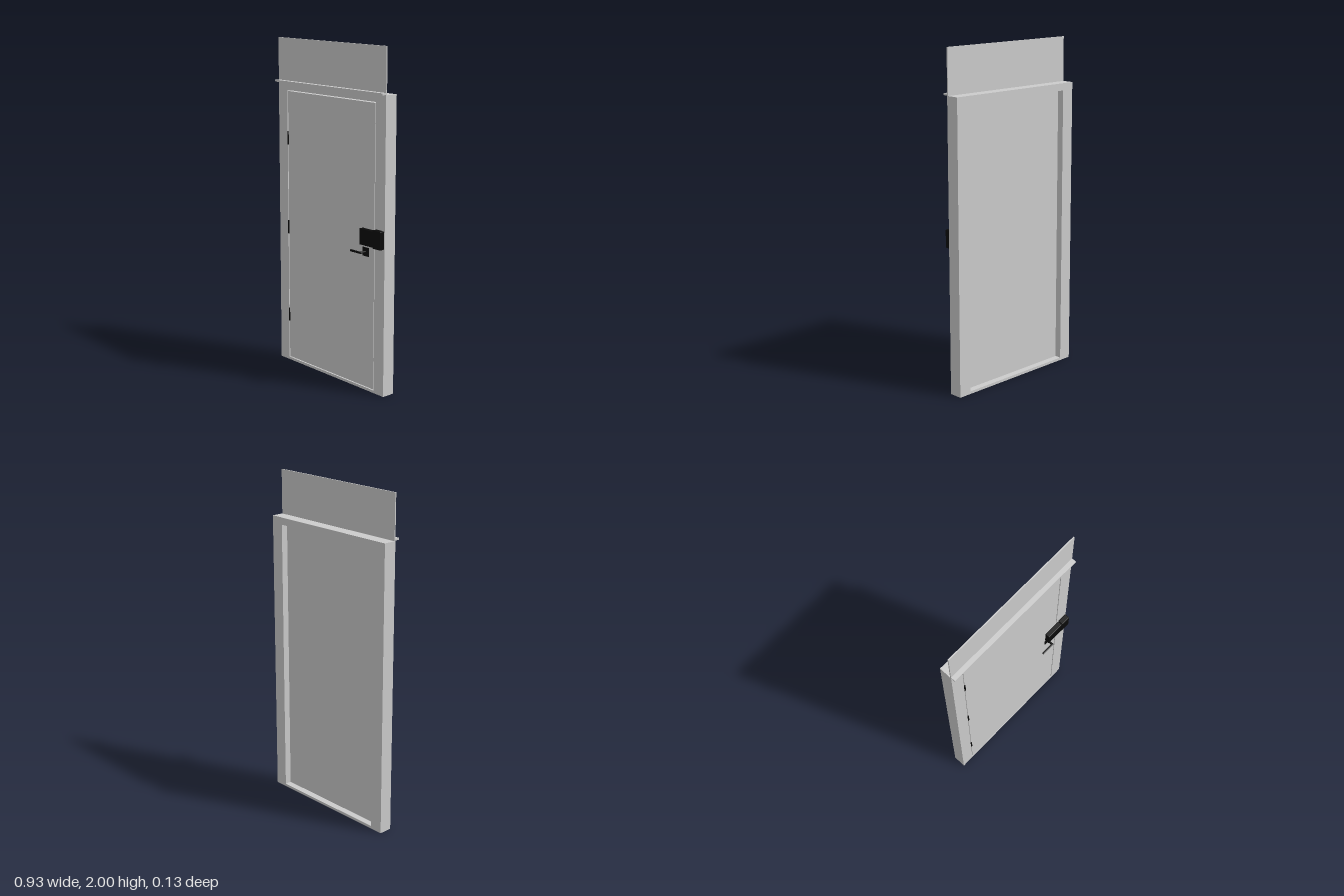
import * as THREE from 'three';
import { RoundedBoxGeometry } from 'three/addons/geometries/RoundedBoxGeometry.js';

export function createModel() {
  const model = new THREE.Group();
  model.name = 'door';
  const grey = new THREE.MeshStandardMaterial({ color: 0xcccccc });
  const black = new THREE.MeshStandardMaterial({ color: 0x0a0a0a });

  // Box given by its lower and upper bounds; a radius rounds its edges
  function box(name, [x0, x1], [y0, y1], [z0, z1], material = grey, radius = 0) {
    const size = [x1 - x0, y1 - y0, z1 - z0];
    const geometry = radius
      ? new RoundedBoxGeometry(...size, 2, radius)
      : new THREE.BoxGeometry(...size);
    const mesh = new THREE.Mesh(geometry, material);
    mesh.name = name;
    mesh.position.set((x0 + x1) / 2, (y0 + y1) / 2, (z0 + z1) / 2);
    model.add(mesh);
    return mesh;
  }

  const back = -0.063, front = 0.017;

  // Frame: one rectangle with the doorway cut out
  const outline = new THREE.Shape([
    new THREE.Vector2(-0.463, 0), new THREE.Vector2(0.463, 0),
    new THREE.Vector2(0.463, 1.735), new THREE.Vector2(-0.463, 1.735),
  ]);
  outline.holes.push(new THREE.Path([
    new THREE.Vector2(-0.383, 0.016), new THREE.Vector2(-0.383, 1.692),
    new THREE.Vector2(0.383, 1.692), new THREE.Vector2(0.383, 0.016),
  ]));
  const frame = new THREE.Mesh(
    new THREE.ExtrudeGeometry(outline, { depth: front - back, bevelEnabled: false }), grey);
  frame.name = 'frame';
  frame.position.z = back;
  model.add(frame);

  // Door leaf, with a narrow gap at the front and a stop closing it behind
  box('doorLeaf', [-0.378, 0.378], [0.021, 1.686], [-0.02, front - 0.001]);
  box('doorStop', [-0.383, 0.383], [0.016, 1.692], [-0.023, -0.018]);

  // Panel above the frame and the drip rail at its foot
  box('upperPanel', [-0.463, 0.463], [1.735, 2], [0.01, front]);
  box('dripRail', [-0.463, 0.463], [1.737, 1.748], [front - 0.002, 0.045]);

  // Hinges
  for (const y of [0.296, 0.855, 1.404])
    box('hinge', [-0.384, -0.375], [y - 0.041, y + 0.041], [0.005, front + 0.003], black);

  // Rim lock and its keeper on the frame
  box('lockCase', [0.285, 0.4], [0.876, 0.97], [front, 0.047], black, 0.004);
  box('lockKeeper', [0.398, 0.46], [0.872, 0.979], [front, 0.05], black, 0.004);

  // Lever handle: plate, spindle and lever
  box('handlePlate', [0.285, 0.335], [0.807, 0.858], [front, 0.021], black);
  const spindle = new THREE.Mesh(new THREE.CylinderGeometry(0.006, 0.006, 0.04, 16), black);
  spindle.name = 'handleSpindle';
  spindle.rotation.x = Math.PI / 2;
  spindle.position.set(0.309, 0.832, 0.039);
  model.add(spindle);
  box('handleLever', [0.224, 0.316], [0.826, 0.838], [0.052, 0.063], black, 0.004);

  return model;
}
